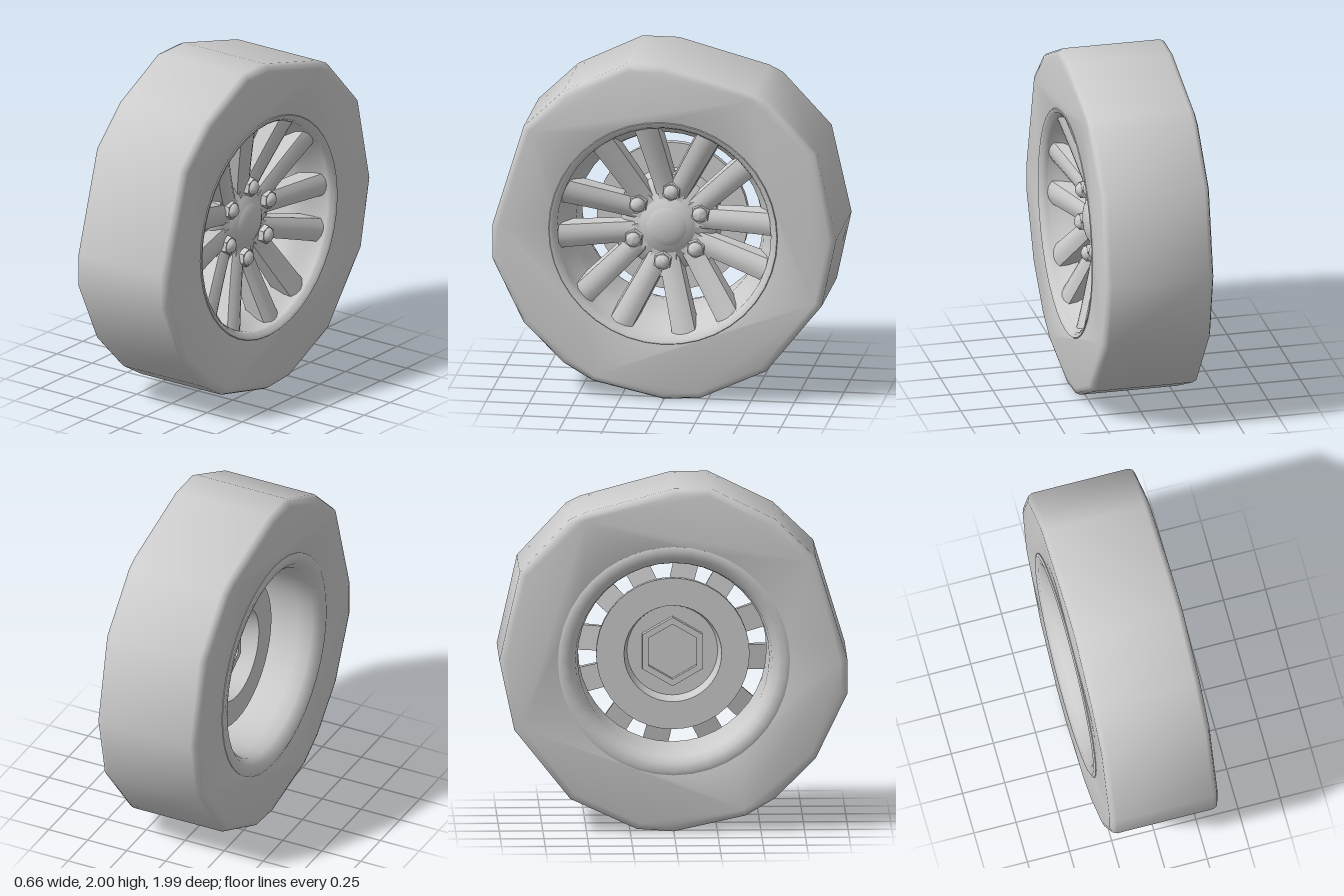
import * as THREE from 'three';
import { toCreasedNormals } from 'three/addons/utils/BufferGeometryUtils.js';

const grey = new THREE.MeshStandardMaterial({ color: 0xcccccc, side: THREE.DoubleSide });

function part(name, geometry, crease = 0.6) {
  const mesh = new THREE.Mesh(toCreasedNormals(geometry, crease), grey);
  mesh.name = name;
  return mesh;
}

// Turned part around the axle; points are [radius, depth], outer face towards +z
function turned(name, points, segments = 40, crease = 0.6) {
  const g = new THREE.LatheGeometry(points.map(([r, d]) => new THREE.Vector2(r, d)), segments);
  return part(name, g.rotateX(Math.PI / 2), crease);
}

// Place an object at a clock angle (degrees from the top, clockwise) around the axle
function atClock(object, degrees) {
  const holder = new THREE.Group();
  holder.name = object.name + 'Mount';
  holder.rotation.z = -THREE.MathUtils.degToRad(degrees);
  holder.add(object);
  return holder;
}

// Coarse faceted tyre with bevelled shoulders and a round bead opening
function makeTyre() {
  const outline = [[-0.21, 0.99], [0, 0.99], [0.52, 0.85], [0.6, 0.81], [0.88, 0.51], [0.995, 0], [0.91, -0.4],
    [0.59, -0.8], [0.21, -0.975], [0, -0.99], [-0.41, -0.9], [-0.58, -0.8], [-0.81, -0.57], [-0.99, -0.2],
    [-0.99, 0], [-0.81, 0.59], [-0.58, 0.81]];
  const shape = new THREE.Shape(outline.reverse().map(([x, y]) => new THREE.Vector2(x * 1.005, y * 1.008)));
  const hole = new THREE.Path();
  hole.absarc(0, 0, 0.62, 0, Math.PI * 2, true);
  shape.holes.push(hole);
  const g = new THREE.ExtrudeGeometry(shape, {
    depth: 0.57, bevelThickness: 0.035, bevelSize: 0.04, bevelOffset: -0.04, bevelSegments: 2, curveSegments: 20,
  });
  return part('tyre', g.translate(0, 0, -0.283), 1);
}

// Tapered spoke: crowned front, sloping inwards from the rim to the hub
function makeSpoke(lean) {
  const inner = 0.16, outer = 0.632;
  const g = new THREE.BoxGeometry(1, 1, 1, 4, 6, 1);
  const p = g.attributes.position;
  for (let i = 0; i < p.count; i++) {
    const t = p.getY(i) + 0.5, u = p.getX(i) * 2;
    const isFront = p.getZ(i) > 0;
    const front = 0.16 + 0.125 * Math.pow(t, 1.1) - 0.022 * u * u;
    const back = 0.07 + 0.09 * t;
    const half = (isFront ? 0.058 : 0.066) + 0.01 * t;
    p.setXYZ(i, u * half + lean * (t - 1) * 0.03, inner + (outer - inner) * t, isFront ? front : back);
  }
  return part('spoke', g, 0.7);
}

// Web joining the feet of a spoke pair under its nut
function makeWeb() {
  const corners = [[-0.06, 0.1], [0.06, 0.1], [0.1, 0.34], [0.03, 0.31], [-0.03, 0.31], [-0.1, 0.34]];
  const shape = new THREE.Shape(corners.map(([x, y]) => new THREE.Vector2(x, y)));
  const g = new THREE.ExtrudeGeometry(shape, { depth: 0.09, bevelEnabled: false });
  return part('spokeWeb', g.translate(0, 0, 0.07));
}

// Hexagonal nut with a domed end
function makeNut() {
  const nut = new THREE.Group();
  nut.name = 'wheelNut';
  const base = part('nutBase', new THREE.CylinderGeometry(0.054, 0.06, 0.06, 6).rotateX(Math.PI / 2));
  const dome = part('nutDome', new THREE.SphereGeometry(0.046, 14, 10), 1);
  dome.position.z = 0.015;
  nut.add(base, dome);
  nut.position.set(0, 0.21, 0.165);
  return nut;
}

export function createModel() {
  const model = new THREE.Group();
  model.name = 'wheel';
  const wheel = new THREE.Group();
  wheel.name = 'wheelAssembly';
  wheel.rotation.y = Math.PI / 2;
  wheel.position.y = 1;
  model.add(wheel);

  wheel.add(makeTyre());

  // Rim barrel with a broad rolled lip inboard and a narrow raised lip outboard
  wheel.add(turned('rimBarrel', [[0.66, -0.29], [0.665, -0.322], [0.645, -0.33], [0.6, -0.32], [0.565, -0.28],
    [0.55, -0.2], [0.54, 0.08], [0.56, 0.16], [0.6, 0.21], [0.618, 0.27], [0.63, 0.305], [0.64, 0.32],
    [0.66, 0.327], [0.67, 0.315]], 40, 0.9));

  // Hub sloping down from the centre cap
  wheel.add(turned('hub', [[0, 0.05], [0.25, 0.06], [0.28, 0.09], [0.26, 0.12], [0.2, 0.145], [0.15, 0.165], [0.118, 0.188], [0, 0.19]], 40, 0.8));

  // Domed centre cap
  wheel.add(turned('centreCap', [[0.115, 0.17], [0.115, 0.188], [0.1, 0.197], [0.07, 0.207], [0.035, 0.213], [0, 0.215]], 28));

  // Six spoke pairs, each with a web and a nut at its foot
  for (let i = 0; i < 6; i++) {
    const clock = 7 + i * 60;
    for (const side of [-1, 1]) wheel.add(atClock(makeSpoke(side), clock + side * 17.3));
    wheel.add(atClock(makeWeb(), clock), atClock(makeNut(), clock));
  }

  // Brake disc with its hollow hat
  wheel.add(turned('brakeDisc', [[0, 0.03], [0.26, 0.03], [0.28, -0.08], [0.44, -0.08], [0.44, -0.04],
    [0.29, -0.04], [0.27, 0.07], [0, 0.07]]));

  // Hexagonal collar inside the hat
  wheel.add(turned('hubCollar', [[0, 0.02], [0.16, 0.02], [0.16, -0.02], [0.2, -0.02], [0.2, 0.03]], 6));

  return model;
}
